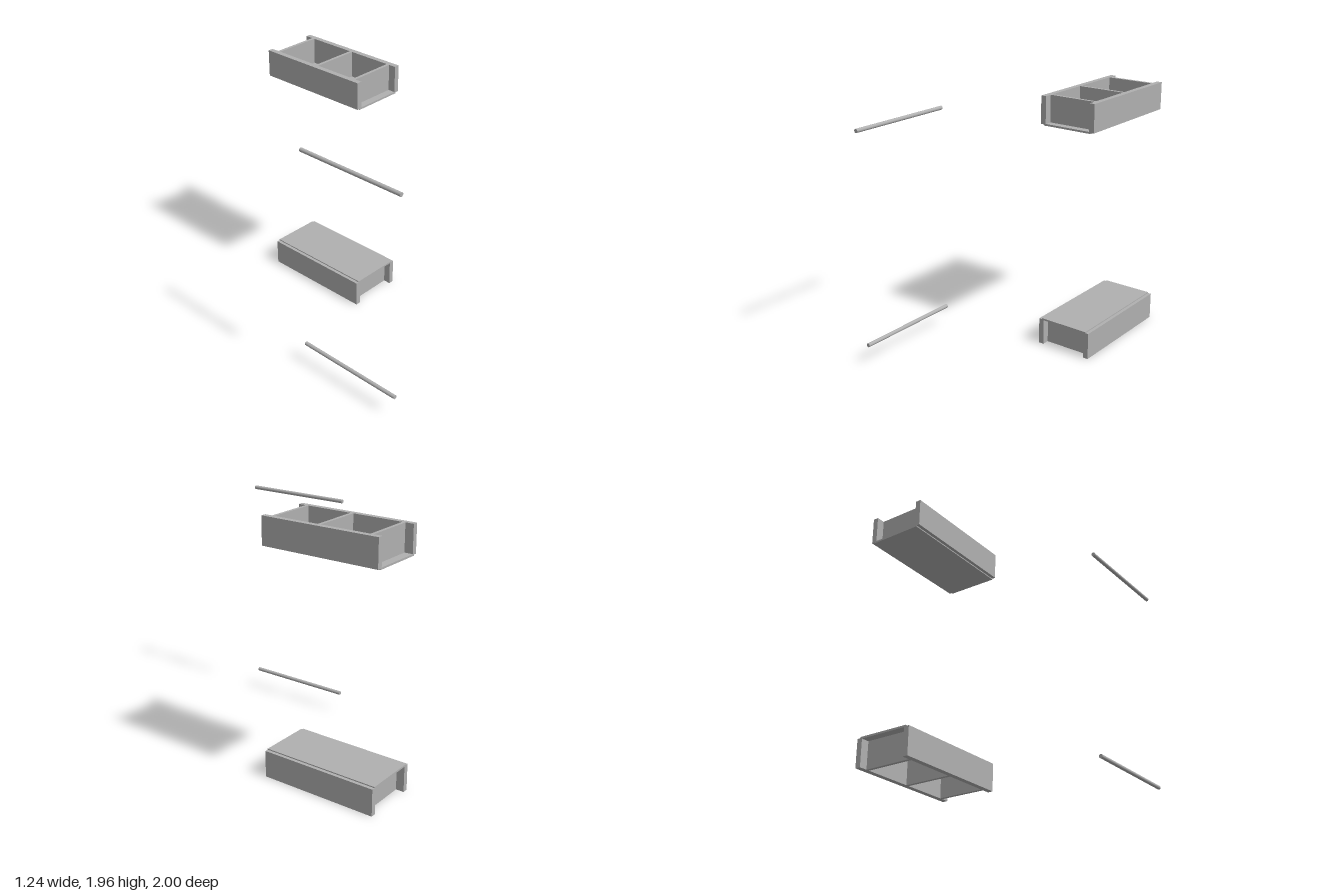
import * as THREE from 'three';

const grey = new THREE.MeshStandardMaterial({ color: 0xb0b0b0 });
grey.name = 'plain grey';

function addBox(group, name, [x0, x1], [y0, y1], [z0, z1]) {
  const mesh = new THREE.Mesh(new THREE.BoxGeometry(x1 - x0, y1 - y0, z1 - z0), grey);
  mesh.name = name;
  mesh.position.set((x0 + x1) / 2, (y0 + y1) / 2, (z0 + z1) / 2);
  group.add(mesh);
}

// Open tray with a floor set into the side boards and three cross walls.
// Modelled around its own centre line; the floor is at y = 0.
function makeTray(name) {
  const tray = new THREE.Group();
  tray.name = name;
  const half = 0.226, inner = 0.185, height = 0.216, length = 0.463;
  const rebate = 0.008, floorTop = 0.014, floorHalf = 0.2;
  for (const s of [-1, 1]) {
    const span = (a, b) => (s > 0 ? [a, b] : [-b, -a]);
    addBox(tray, 'sideBoard', span(inner, half), [floorTop, height], [-length, length]);
    // lower lip of the side board, outside the floor panel
    addBox(tray, 'sideBoardLip', span(floorHalf, half), [rebate, floorTop], [-length, length]);
  }
  addBox(tray, 'floorPanel', [-floorHalf, floorHalf], [0, floorTop], [-length, length]);
  for (const z of [-0.388, 0.018, 0.393]) {
    addBox(tray, 'crossWall', [-inner, inner], [floorTop, height], [z - 0.012, z + 0.012]);
  }
  return tray;
}

export function createModel() {
  const model = new THREE.Group();
  model.name = 'traysAndRods';

  // Upper tray opens upward
  const upper = makeTray('upperTray');
  upper.position.set(0.394, 1.741, -0.537);
  model.add(upper);

  // Lower tray is turned over about its long axis, opening downward
  const lower = makeTray('lowerTray');
  lower.rotation.z = Math.PI;
  lower.position.set(0.394, 0.216, -0.537);
  model.add(lower);

  // Round rods
  const rodGeometry = new THREE.CylinderGeometry(0.015, 0.015, 0.872, 32).rotateX(Math.PI / 2);
  for (const [name, y] of [['upperRod', 1.795], ['lowerRod', 0.168]]) {
    const rod = new THREE.Mesh(rodGeometry, grey);
    rod.name = name;
    rod.position.set(-0.609, y, 0.564);
    model.add(rod);
  }
  return model;
}
